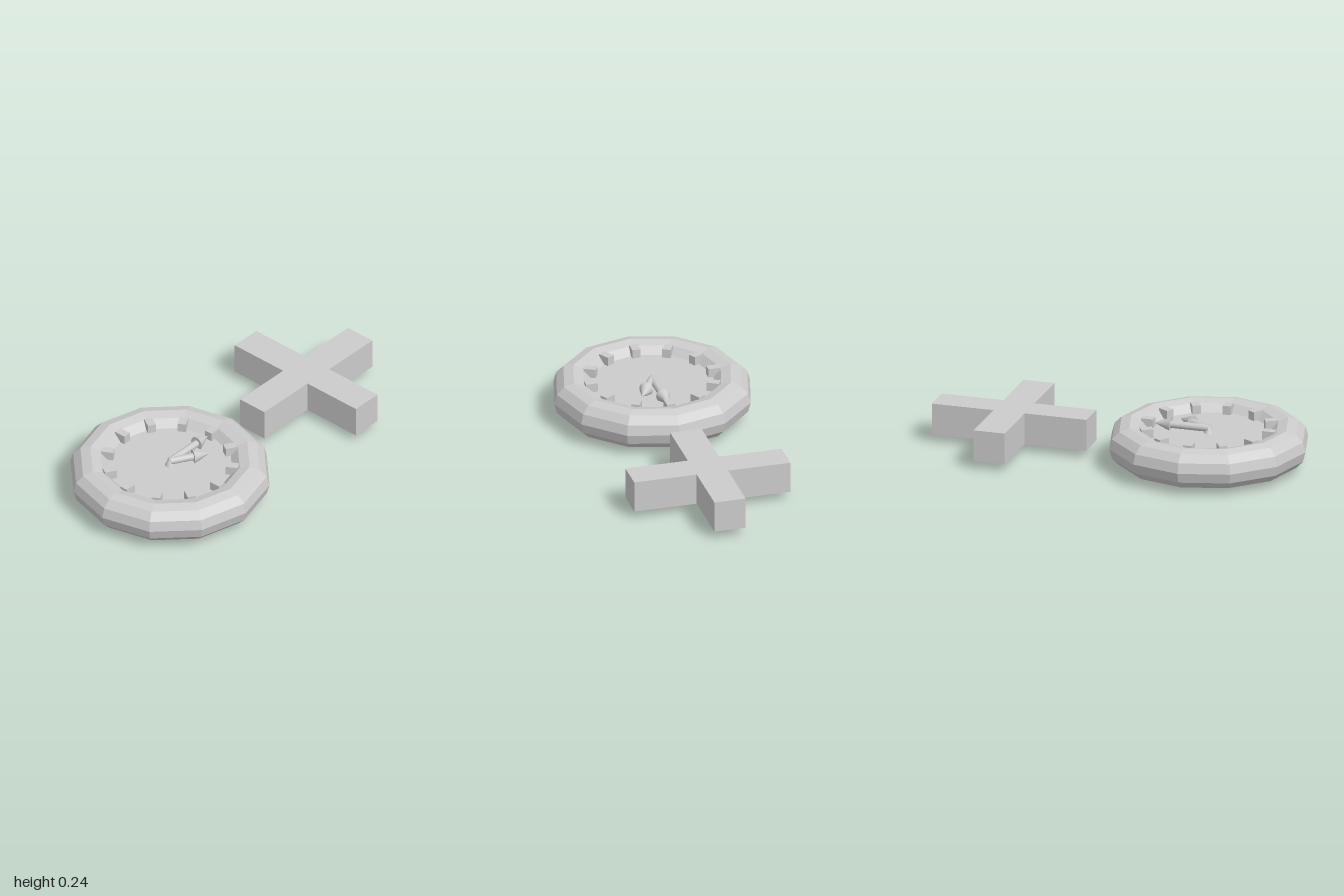
import * as THREE from 'three';

const flat = new THREE.MeshStandardMaterial({ color: 0xcccccc, flatShading: true });
const smooth = new THREE.MeshStandardMaterial({ color: 0xcccccc });

const MID = 0.13; // height of the clock's middle plane
const CLOCK_Z = 0.475;

function add(parent, name, geometry, material = flat) {
  const mesh = new THREE.Mesh(geometry, material);
  mesh.name = name;
  parent.add(mesh);
  return mesh;
}

// Arrow-shaped hand lying flat, pointing to -z and turned by angle
function makeHand(name, length, angle) {
  const hand = new THREE.Group();
  hand.name = name;
  const headLength = 0.09;
  const shaftLength = length - headLength;
  const shaft = new THREE.CylinderGeometry(0.019, 0.019, shaftLength, 16);
  shaft.rotateX(-Math.PI / 2).translate(0, 0, -shaftLength / 2);
  add(hand, 'handShaft', shaft, smooth);
  const head = new THREE.ConeGeometry(0.037, headLength, 16);
  head.rotateX(-Math.PI / 2).translate(0, 0, -shaftLength - headLength / 2);
  add(hand, 'handHead', head, smooth);
  hand.rotation.y = angle;
  return hand;
}

// Pivot and both hands of one face; side is 1 for the top, -1 for the underside
function makeHands(side) {
  const hands = new THREE.Group();
  hands.name = side > 0 ? 'topHands' : 'undersideHands';
  const y = side > 0 ? 0.207 : 0.04;
  const longHand = makeHand('minuteHand', 0.295, 0);
  const shortHand = makeHand('hourHand', 0.215, -side * Math.PI / 6);
  longHand.position.y = shortHand.position.y = y;
  hands.add(longHand, shortHand);

  const base = MID + side * 0.05;
  const tip = side > 0 ? 0.235 : 0.012;
  const pivot = add(hands, 'pivot', new THREE.ConeGeometry(0.028, Math.abs(tip - base), 16), smooth);
  pivot.position.y = (base + tip) / 2;
  if (side < 0) pivot.rotation.x = Math.PI;
  return hands;
}

export function createModel() {
  const model = new THREE.Group();
  model.name = 'clockAndCross';

  // Two-faced clock lying flat
  const clock = new THREE.Group();
  clock.name = 'clock';
  clock.position.z = CLOCK_Z;
  model.add(clock);

  const rim = new THREE.TorusGeometry(0.42, 0.105, 12, 12).rotateX(Math.PI / 2);
  add(clock, 'rim', rim).position.y = MID;
  add(clock, 'dial', new THREE.CylinderGeometry(0.335, 0.335, 0.105, 12)).position.y = MID;

  // Hour markers pass through the dial and show on both faces
  for (let i = 0; i < 12; i++) {
    const a = (i * Math.PI) / 6;
    const marker = add(clock, 'hourMarker', new THREE.BoxGeometry(0.044, 0.2, 0.064));
    marker.position.set(Math.sin(a) * 0.328, MID, Math.cos(a) * 0.328);
    marker.rotation.y = a;
  }
  clock.add(makeHands(1), makeHands(-1));

  // Plus-shaped block, one extruded outline
  const w = 0.084, l = 0.419;
  const outline = [[w, w], [w, l], [-w, l], [-w, w], [-l, w], [-l, -w],
    [-w, -w], [-w, -l], [w, -l], [w, -w], [l, -w], [l, w]];
  const shape = new THREE.Shape(outline.map(([x, y]) => new THREE.Vector2(x, y)));
  const cross = new THREE.ExtrudeGeometry(shape, { depth: 2 * w, bevelEnabled: false });
  cross.translate(0, 0, -w).rotateX(-Math.PI / 2);
  add(model, 'cross', cross).position.set(0, 0.128, -0.581);

  return model;
}
